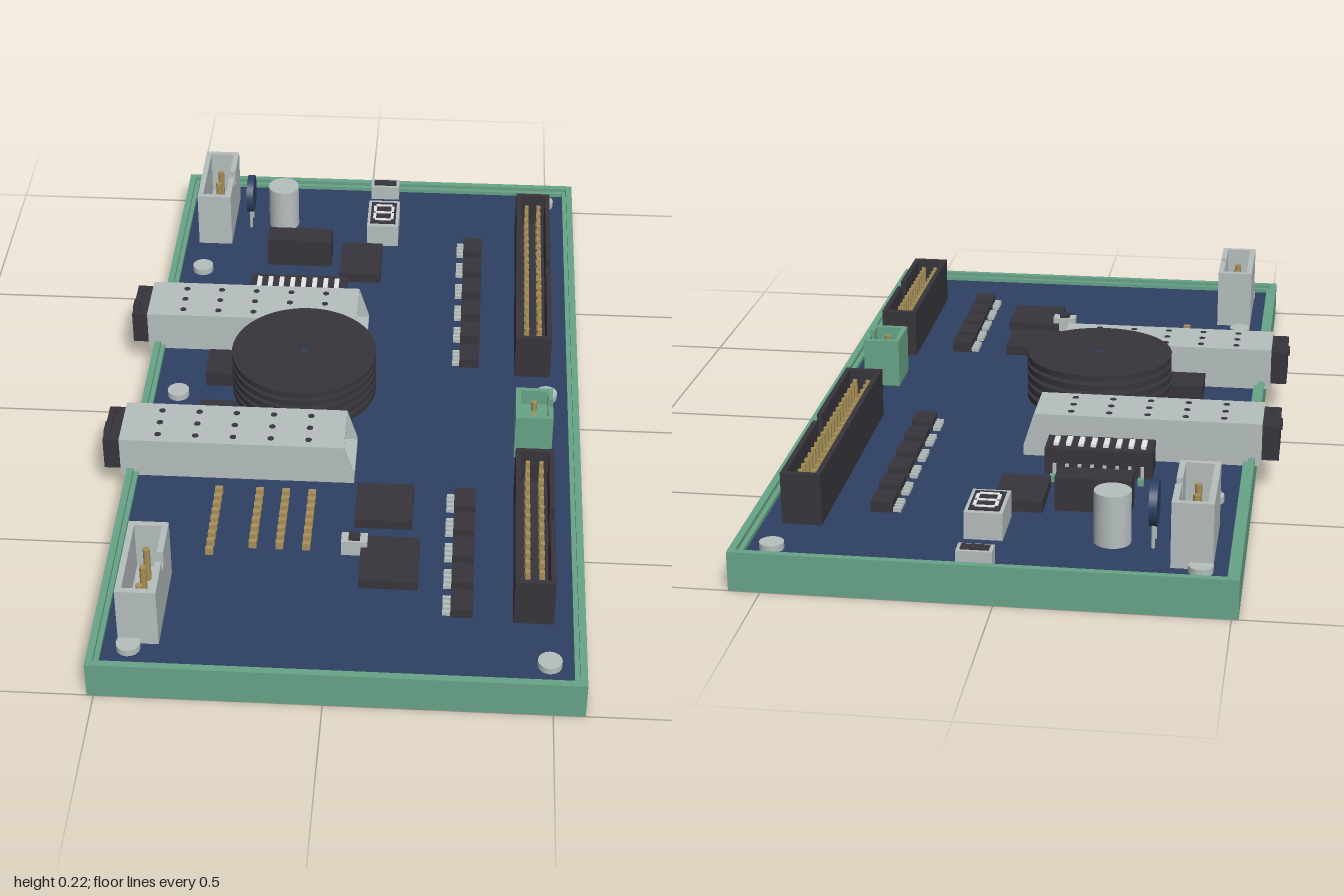
import * as THREE from 'three';

export function createModel() {
  const model = new THREE.Group();
  model.name = 'circuitBoard';
  const mat = (name, color) => {
    const m = new THREE.MeshStandardMaterial({ color });
    m.name = name;
    return m;
  };
  const green = mat('green', 0x68a488);
  const navy = mat('navy', 0x2d4062);
  const black = mat('black', 0x37353b);
  const grey = mat('lightGrey', 0xb6bebe);
  const white = mat('white', 0xe6e8e8);
  const gold = mat('gold', 0xa89058);
  const FLOOR = 0.07; // board surface

  const group = (name) => {
    const g = new THREE.Group();
    g.name = name;
    model.add(g);
    return g;
  };
  // Box given by its limits
  const box = (parent, name, m, x0, x1, y0, y1, z0, z1) => {
    const mesh = new THREE.Mesh(new THREE.BoxGeometry(x1 - x0, y1 - y0, z1 - z0), m);
    mesh.position.set((x0 + x1) / 2, (y0 + y1) / 2, (z0 + z1) / 2);
    mesh.name = name;
    parent.add(mesh);
    return mesh;
  };
  const cyl = (parent, name, m, r, x, y0, y1, z, seg = 24) => {
    const mesh = new THREE.Mesh(new THREE.CylinderGeometry(r, r, y1 - y0, seg), m);
    mesh.position.set(x, (y0 + y1) / 2, z);
    mesh.name = name;
    parent.add(mesh);
    return mesh;
  };
  // Rectangular frame of four walls
  const frame = (parent, name, m, x0, x1, y0, y1, z0, z1, t) => {
    box(parent, name, m, x0, x0 + t, y0, y1, z0, z1);
    box(parent, name, m, x1 - t, x1, y0, y1, z0, z1);
    box(parent, name, m, x0 + t, x1 - t, y0, y1, z0, z0 + t);
    box(parent, name, m, x0 + t, x1 - t, y0, y1, z1 - t, z1);
  };
  // Socket open at the top, with a key slot in the middle of its +x wall
  const socket = (parent, m, x0, x1, y1, z0, z1, t, slot, slotBase) => {
    const mid = (z0 + z1) / 2;
    box(parent, 'socketFloor', m, x0, x1, FLOOR, 0.1, z0, z1);
    box(parent, 'socketWall', m, x0, x0 + t, 0.1, y1, z0, z1);
    box(parent, 'socketWall', m, x0 + t, x1 - t, 0.1, y1, z0, z0 + t);
    box(parent, 'socketWall', m, x0 + t, x1 - t, 0.1, y1, z1 - t, z1);
    box(parent, 'socketWall', m, x1 - t, x1, 0.1, y1, z0, mid - slot / 2);
    box(parent, 'socketWall', m, x1 - t, x1, 0.1, y1, mid + slot / 2, z1);
    if (slotBase > 0.1) box(parent, 'socketWall', m, x1 - t, x1, 0.1, slotBase, mid - slot / 2, mid + slot / 2);
  };

  // Tray and board
  const tray = group('tray');
  box(tray, 'trayBase', green, -0.515, 0.57, 0, 0.05, -1, 1);
  frame(tray, 'trayRim', green, -0.515, 0.57, 0.05, 0.09, -1, 1, 0.016);
  frame(tray, 'trayLedge', green, -0.499, 0.554, 0.05, 0.08, -0.984, 0.984, 0.011);
  box(model, 'board', navy, -0.488, 0.543, 0.05, FLOOR, -0.973, 0.973);

  // Mounting screws
  const screws = group('screws');
  for (const [x, z] of [[-0.43, -0.925], [-0.43, -0.55], [-0.43, 0.007], [-0.43, 0.612], [-0.43, 0.92],
    [0.49, -0.925], [0.49, -0.035], [0.49, 0.92]]) cyl(screws, 'screw', grey, 0.027, x, FLOOR, 0.086, z, 16);

  // Tall power sockets on the side edge
  for (const [z0, z1] of [[-0.915, -0.68], [0.67, 0.905]]) {
    const g = group('powerSocket');
    socket(g, grey, -0.455, -0.365, 0.22, z0, z1, 0.014, 0.03, 0.19);
    for (let i = 0; i < 3; i++) {
      cyl(g, 'powerPin', gold, 0.008, -0.41, 0.1, 0.19, z0 + 0.0575 + i * 0.06, 8);
    }
  }

  // Ribbon headers with two rows of pins
  for (const [z0, z1, n] of [[-0.795, -0.12, 20], [0.32, 0.79, 14]]) {
    const g = group('ribbonHeader');
    socket(g, black, 0.41, 0.5, 0.19, z0, z1, 0.012, 0.042, 0.1);
    for (let i = 0; i < n; i++) {
      const z = (z0 + z1) / 2 + (i - (n - 1) / 2) * 0.0318;
      for (const x of [0.439, 0.471]) box(g, 'headerPin', gold, x - 0.005, x + 0.005, 0.1, 0.172, z - 0.005, z + 0.005);
    }
  }

  // Green terminal
  const terminal = group('terminal');
  socket(terminal, green, 0.41, 0.5, 0.19, 0.085, 0.205, 0.012, 0.03, 0.17);
  box(terminal, 'terminalCore', green, 0.422, 0.488, 0.1, 0.15, 0.097, 0.193);
  for (const z of [0.12, 0.17]) cyl(terminal, 'terminalPin', gold, 0.007, 0.455, 0.14, 0.175, z, 8);

  // Shielded cages with a dark plug at the board edge
  const side = new THREE.Shape([[-0.53, FLOOR], [0.03, FLOOR], [0.03, 0.095], [0.005, 0.175], [-0.53, 0.175]]
    .map(([x, y]) => new THREE.Vector2(x, y)));
  for (const z of [-0.26, 0.255]) {
    const g = group('shieldedCage');
    for (const s of [z - 0.073, z + 0.067]) {
      const wall = new THREE.Mesh(new THREE.ExtrudeGeometry(side, { depth: 0.006, bevelEnabled: false }), grey);
      wall.position.z = s;
      wall.name = 'cageWall';
      g.add(wall);
    }
    box(g, 'cageTop', grey, -0.53, 0.005, 0.169, 0.175, z - 0.067, z + 0.067);
    box(g, 'cageFloor', grey, -0.53, 0.03, FLOOR, 0.092, z - 0.067, z + 0.067);
    box(g, 'cageInsert', black, -0.53, -0.15, 0.092, 0.169, z - 0.066, z + 0.066);
    frame(g, 'plugRim', black, -0.57, -0.53, 0.083, 0.167, z - 0.065, z + 0.065, 0.014);
    box(g, 'plugBody', black, -0.56, -0.53, 0.092, 0.16, z - 0.052, z + 0.052);
    box(g, 'plugLatch', black, -0.575, -0.56, 0.143, 0.157, z - 0.02, z + 0.02);
    for (let i = 0; i < 5; i++) for (const dz of [-0.046, 0, 0.046]) {
      cyl(g, 'ventHole', black, 0.008, -0.44 + i * 0.09, 0.173, 0.176, z + dz, 10);
    }
  }

  // Round finned stack
  const stack = group('finnedDisc');
  cyl(stack, 'discCore', black, 0.138, -0.113, FLOOR, 0.21, 0, 40);
  for (let i = 0; i < 5; i++) cyl(stack, 'fin', black, 0.178, -0.113, 0.203 - i * 0.0245, 0.218 - i * 0.0245, 0, 48);
  cyl(stack, 'discCentre', navy, 0.008, -0.113, 0.217, 0.2185, 0, 12);

  // Flat chips: x0, x1, z0, z1, top
  const chips = group('chips');
  for (const [x0, x1, z0, z1, top] of [
    [-0.06, 0.05, -0.665, -0.515, 0.097], [0.04, 0.175, 0.355, 0.49, 0.095], [0.06, 0.195, 0.545, 0.697, 0.095],
    [-0.365, -0.275, -0.135, -0.035, 0.11], [-0.365, -0.275, 0.075, 0.172, 0.11],
  ]) box(chips, 'chip', black, x0, x1, FLOOR, top, z0, z1);

  // Small driver chips with legs on one side
  const drivers = group('driverChips');
  for (const z of [-0.675, -0.58, -0.48, -0.38, -0.283, -0.182, 0.395, 0.482, 0.57, 0.66, 0.748]) {
    box(drivers, 'driver', black, 0.27, 0.32, FLOOR, 0.096, z - 0.033, z + 0.033);
    for (let i = 0; i < 4; i++) {
      const lz = z + (i - 1.5) * 0.016;
      box(drivers, 'driverLeg', grey, 0.252, 0.27, FLOOR, 0.08, lz - 0.004, lz + 0.004);
    }
  }

  // Relay block
  box(model, 'relay', black, -0.257, -0.085, FLOOR, 0.15, -0.648, -0.585);

  // Indicator lights and switch bank
  const bank = group('switchBank');
  box(bank, 'switchBody', black, -0.285, -0.035, FLOOR, 0.135, -0.445, -0.36);
  for (let i = 0; i < 8; i++) {
    const x = -0.262 + i * 0.029;
    box(bank, 'switchLever', white, x - 0.006, x + 0.006, 0.134, 0.142, -0.425, -0.38);
    box(bank, 'indicator', green, x - 0.007, x + 0.007, FLOOR, 0.085, -0.488, -0.472);
    box(bank, 'switchLeg', grey, x - 0.004, x + 0.004, FLOOR, 0.1, -0.451, -0.445);
  }

  // Seven-segment display
  const display = group('digitDisplay');
  box(display, 'displayBody', grey, 0.005, 0.09, FLOOR, 0.133, -0.825, -0.695);
  box(display, 'displayFace', black, 0.013, 0.082, 0.132, 0.136, -0.812, -0.708);
  for (const z of [-0.795, -0.76, -0.725]) box(display, 'segment', white, 0.026, 0.07, 0.135, 0.138, z - 0.004, z + 0.004);
  for (const x of [0.024, 0.072]) for (const z of [-0.7775, -0.7425]) {
    box(display, 'segment', white, x - 0.004, x + 0.004, 0.135, 0.138, z - 0.013, z + 0.013);
  }

  // Capacitor and disc varistor
  cyl(model, 'capacitor', grey, 0.041, -0.23, FLOOR, 0.19, -0.795, 32);
  const varistor = group('varistor');
  const disc = cyl(varistor, 'varistorDisc', navy, 0.05, -0.32, 0.155, 0.173, -0.793, 32);
  disc.rotation.z = Math.PI / 2;
  for (const z of [-0.818, -0.768]) cyl(varistor, 'varistorLead', grey, 0.004, -0.32, FLOOR, 0.15, z, 8);

  // Edge port and push button
  const port = group('edgePort');
  box(port, 'portShell', grey, 0.005, 0.083, FLOOR, 0.11, -0.973, -0.932);
  box(port, 'portTop', black, 0.013, 0.075, 0.109, 0.113, -0.965, -0.94);
  const button = group('pushButton');
  box(button, 'buttonBody', grey, 0.015, 0.075, FLOOR, 0.11, 0.553, 0.587);
  box(button, 'buttonCap', black, 0.032, 0.058, 0.11, 0.118, 0.558, 0.582);

  // Jumper pins
  const jumpers = group('jumperPins');
  const pin = (x, z) => box(jumpers, 'jumperPin', gold, x - 0.009, x + 0.009, FLOOR, 0.089, z - 0.006, z + 0.006);
  for (const x of [-0.287, -0.19, -0.128, -0.066]) for (let i = 0; i < 8; i++) pin(x, 0.385 + i * 0.0265);
  pin(-0.287, 0.6);

  return model;
}
